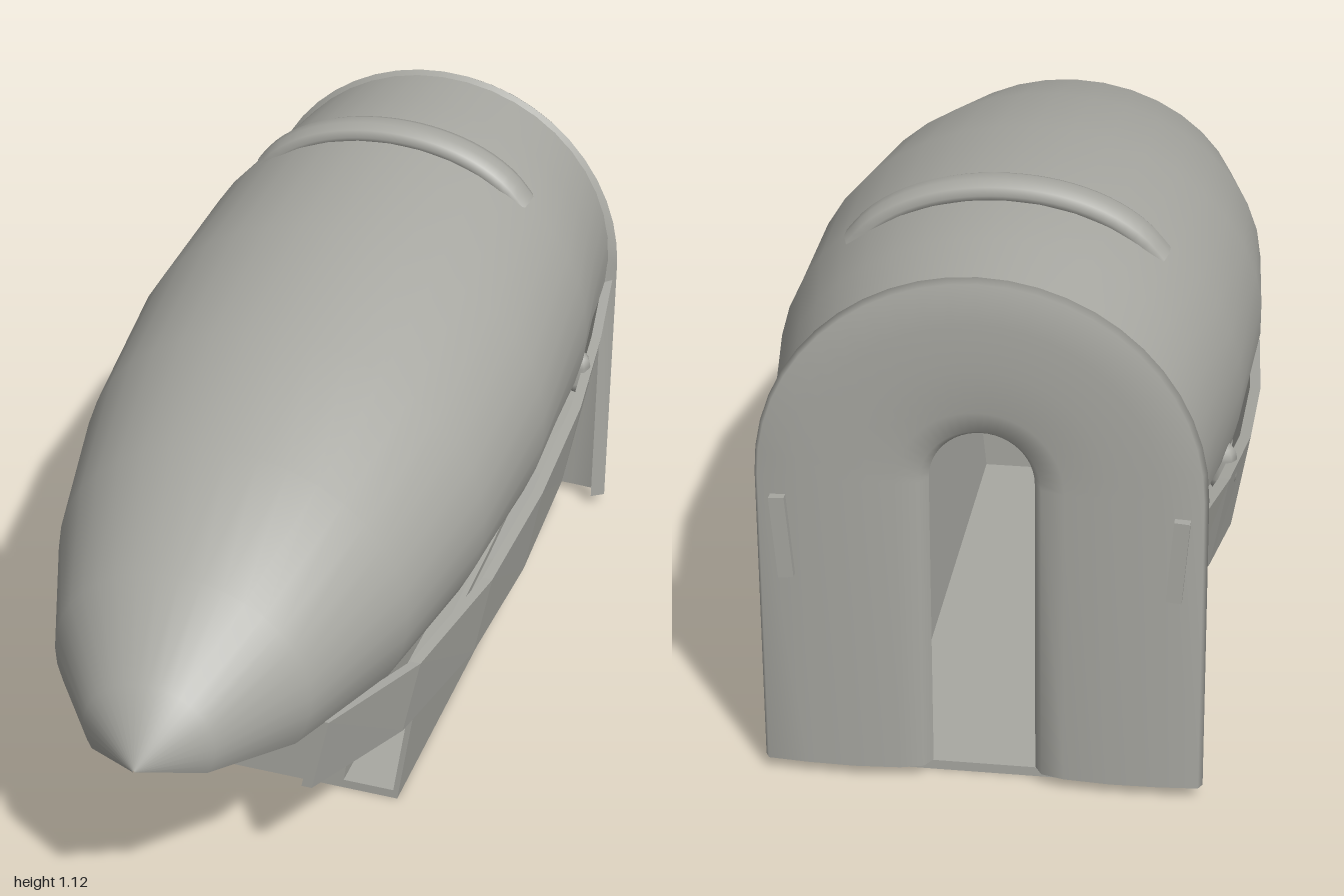
import * as THREE from 'three';

const grey = new THREE.MeshStandardMaterial({ color: 0xa8a8a2, side: THREE.DoubleSide });
grey.name = 'warm grey';

// Surface through rows of [x, y, z] points
function loft(rows, smooth = true) {
  const n = rows[0].length, index = [];
  for (let i = 0; i < rows.length - 1; i++) {
    for (let j = 0; j < n - 1; j++) {
      const a = i * n + j, b = a + 1, c = a + n, d = c + 1;
      index.push(a, c, b, b, c, d);
    }
  }
  let geo = new THREE.BufferGeometry();
  geo.setAttribute('position', new THREE.Float32BufferAttribute(rows.flat(2), 3));
  geo.setIndex(index);
  if (!smooth) geo = geo.toNonIndexed();
  geo.computeVertexNormals();
  return geo;
}

// Solid with flat faces through closed sections, capped at both ends
function solid(sections) {
  const cap = s => s.map(() => [0, 1, 2].map(k => s.reduce((t, p) => t + p[k], 0) / s.length));
  const all = [cap(sections[0]), ...sections, cap(sections[sections.length - 1])];
  return loft(all.map(s => [...s, s[0]]), false);
}

export function createModel() {
  const model = new THREE.Group();
  const add = (name, geo, x = 0, y = 0, z = 0) => {
    const mesh = new THREE.Mesh(geo, grey);
    mesh.name = name;
    mesh.position.set(x, y, z);
    model.add(mesh);
    return mesh;
  };

  // Domed shell: z, half width, widest height, top, lower edge
  const rings = [
    [1, 0.002, 0.5, 0.502, 0.498], [0.92, 0.135, 0.525, 0.645, 0.47],
    [0.74, 0.268, 0.55, 0.78, 0.44], [0.46, 0.375, 0.58, 0.9, 0.432],
    [0.15, 0.44, 0.625, 0.99, 0.457], [-0.2, 0.468, 0.66, 1.06, 0.497],
    [-0.58, 0.457, 0.68, 1.09, 0.557], [-0.8, 0.425, 0.68, 1.08, 0.59],
    [-0.975, 0.407, 0.67, 1.066, 0.615],
  ];
  const steps = 24;
  add('shell', loft(rings.map(([z, w, mid, top, low]) => {
    const end = Math.PI / 2 + Math.asin(Math.min(0.8, (mid - low) / (top - mid)));
    return Array.from({ length: steps + 1 }, (_, j) => {
      const a = end * (2 * j / steps - 1);
      return [w * Math.sin(a), mid + (top - mid) * Math.cos(a), z];
    });
  })));

  // Raised handle across the top of the shell
  const arc = [];
  for (let i = -6; i <= 6; i++) {
    const a = i / 6 * 0.74;
    const lift = 0.008 - 0.025 * Math.abs(i / 6) ** 4;
    arc.push(new THREE.Vector3((0.457 + lift) * Math.sin(a), 0.68 + (0.41 + lift) * Math.cos(a), 0));
  }
  const handle = new THREE.TubeGeometry(new THREE.CatmullRomCurve3(arc), 28, 0.024, 10);
  handle.scale(1, 1, 1.9);
  add('handle', handle, 0, 0, -0.6);

  // Rear arch: rounded profile (radius, z) swept up one leg, over and down
  const profile = [[0.4, -0.945], [0.428, -0.965], [0.42, -0.98], [0.34, -0.986],
    [0.25, -0.988], [0.16, -0.982], [0.115, -0.97], [0.1, -0.945]];
  const archRow = (a, y) => profile.map(([r, z]) => [r * Math.cos(a), y + r * Math.sin(a), z]);
  const archRows = [archRow(0, 0.025)];
  for (let i = 0; i <= 24; i++) archRows.push(archRow(Math.PI * i / 24, 0.65));
  archRows.push(archRow(Math.PI, 0.025));
  add('rearArch', loft(archRows));

  // Base and front panel
  add('base', new THREE.BoxGeometry(0.62, 0.02, 1.24), 0, 0.01, -0.32);
  const panel = new THREE.Shape([[-0.19, 0.02], [0.19, 0.02], [0.22, 0.33], [0.1, 0.33],
    [0.1, 0.38], [-0.1, 0.38], [-0.1, 0.33], [-0.22, 0.33]].map(p => new THREE.Vector2(...p)));
  add('frontPanel', new THREE.ExtrudeGeometry(panel, { depth: 0.02, bevelEnabled: false }), 0, 0, 0.28);
  add('centreBlock', new THREE.BoxGeometry(0.22, 0.1, 0.2), 0, 0.43, 0.15);

  // Side rail: z, top x, top y, bottom y
  const rail = [[0.655, 0.275, 0.44, 0.27], [0.4, 0.385, 0.437, 0.26], [0.1, 0.447, 0.463, 0.272],
    [-0.2, 0.47, 0.5, 0.297], [-0.5, 0.472, 0.544, 0.343], [-0.75, 0.45, 0.58, 0.39],
    [-0.96, 0.42, 0.615, 0.437]];
  for (const s of [1, -1]) {
    const side = s > 0 ? 'left' : 'right';
    add(side + 'Rail', solid(rail.map(([z, x, top, low]) => [
      [s * x, top, z], [s * (x - 0.022), top, z],
      [s * (x - 0.057), low, z], [s * (x - 0.035), low, z]])));

    // Outer wall leaning outwards up to the rail
    const wall = [[0.3, 0.27], [0.1, 0.3], [-0.2, 0.33], [-0.5, 0.37], [-0.94, 0.45]];
    add(side + 'OuterWall', solid(wall.map(([z, y]) => {
      const x = 0.31 + 0.14 * y;
      return [[s * 0.31, 0, z], [s * x, y, z], [s * (x - 0.012), y, z], [s * 0.298, 0, z]];
    })));
    // Ledge joining the wall to the rail
    add(side + 'Ledge', loft(rail.slice(2).map(([z, x, , low]) => [
      [s * (x - 0.04), low + 0.015, z], [s * (0.305 + 0.14 * low), low + 0.01, z]]), false));

    // Inner wall with its sloping upper flange
    add(side + 'InnerWall', solid([0.3, -0.94].map(z => [
      [s * 0.19, 0.02, z], [s * 0.22, 0.33, z], [s * 0.27, 0.385, z],
      [s * 0.262, 0.392, z], [s * 0.208, 0.335, z], [s * 0.178, 0.02, z]])));

    add(side + 'Post', new THREE.BoxGeometry(0.025, 0.09, 0.05), s * 0.13, 0.43, 0.12);

    // Small lug on the lower shell and clip on the rear arch
    const lug = new THREE.CapsuleGeometry(0.03, 0.04, 4, 8);
    add(side + 'Lug', lug, s * 0.425, 0.55, -0.64);
    const clip = add(side + 'Clip', new THREE.BoxGeometry(0.03, 0.17, 0.03), s * 0.375, 0.53, -0.985);
    clip.rotation.z = -s * 0.08;
  }
  return model;
}
